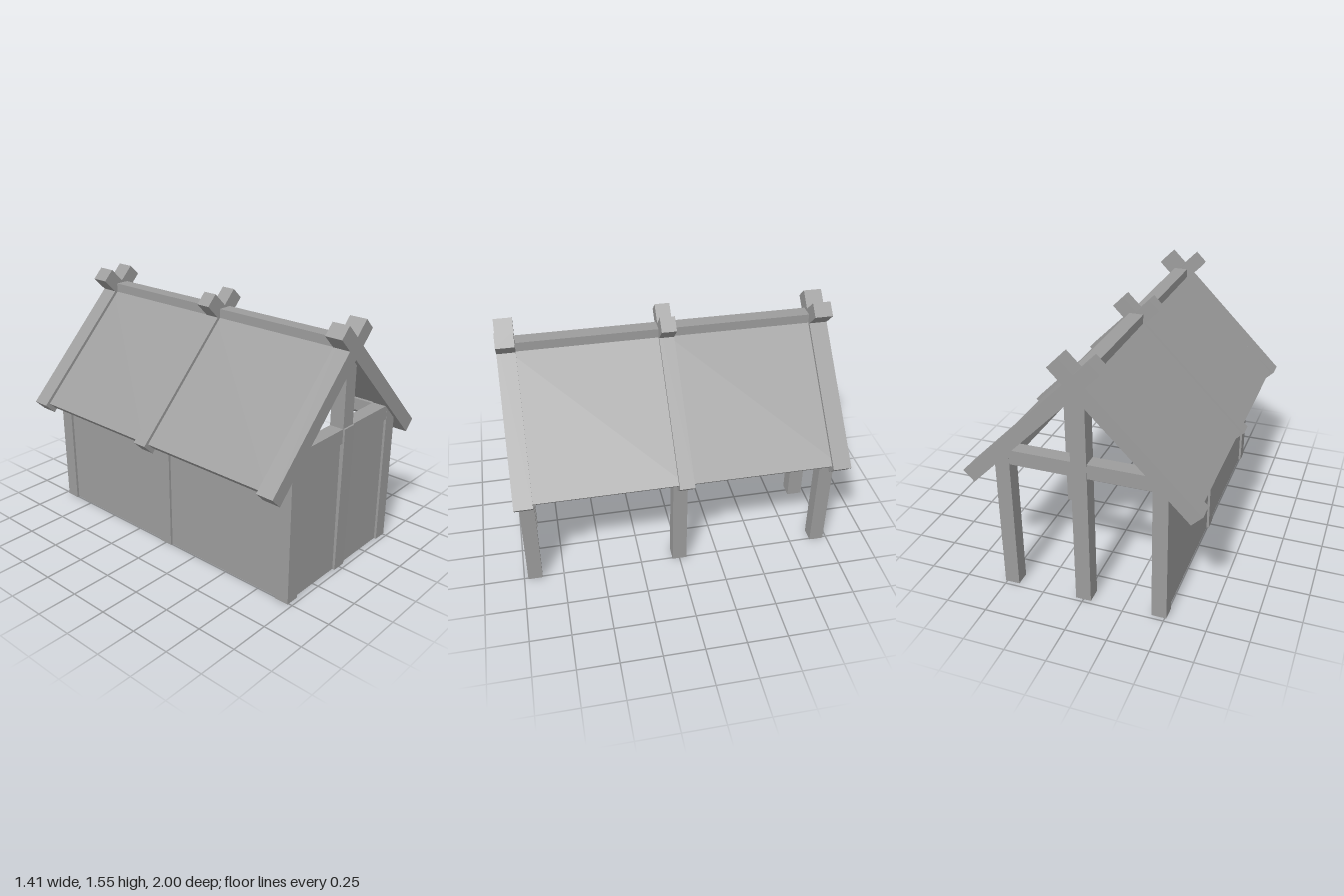
import * as THREE from 'three';

const material = new THREE.MeshStandardMaterial({ color: 0x9c9c9c, flatShading: true });

export function createModel() {
  const model = new THREE.Group();
  model.name = 'timberShelter';

  // Box given by its minimum and maximum on each axis
  const box = (name, [x0, x1], [y0, y1], [z0, z1]) => {
    const mesh = new THREE.Mesh(new THREE.BoxGeometry(x1 - x0, y1 - y0, z1 - z0), material);
    mesh.position.set((x0 + x1) / 2, (y0 + y1) / 2, (z0 + z1) / 2);
    mesh.name = name;
    model.add(mesh);
    return mesh;
  };
  const around = (c, half) => [c - half, c + half];

  const T = 0.045;          // half thickness of the timbers
  const C = 0.047;          // half thickness of the centre posts
  const X = 0.465;          // post line at the sides
  const Z = 0.93;           // post line at the ends

  // Side posts and tie beams of the three frames
  for (const z of [-Z, 0, Z]) {
    for (const x of [-X, X]) box('sidePost', around(x, T), [0, 0.93], around(z, T));
    box('tieBeam', [-X, X], [0.84, 0.93], around(z, T - 0.001));
  }

  // Centre posts: the front one leans out slightly below its king post
  const frontPost = box('frontPost', around(0, C), [0, 0.932], around(Z + 0.006, T));
  frontPost.rotation.x = 0.012;
  box('kingPost', around(0, C), [0.93, 1.38], around(Z, T));
  box('kingPost', around(0, C), [0.93, 1.38], around(0, T));
  box('backPost', around(0, C), [0, 1.38], around(-Z, T + 0.003));

  // Wall plates along the sides and the ridge beam
  for (const x of [-X, X]) box('wallPlate', around(x, T - 0.001), [0.84, 0.915], [-Z, Z]);
  box('ridgeBeam', around(0, T), [1.36, 1.448], [-0.95, 0.95]);

  // Wall panels between the posts of the front and the right side
  const W = 0.03;
  for (const s of [-1, 1]) {
    box('frontWallPanel', around(s * X / 2, X / 2 - T), [0, 0.84], around(Z, W));
    box('sideWallPanel', around(-X, W), [0, 0.84], around(s * Z / 2, Z / 2 - T));
  }

  // Sloping piece at 45 degrees, from its low end to its high end along the slope
  const sloped = (name, side, low, high, thickness, z, depth) => {
    const length = (high - low) * Math.SQRT2;
    const mesh = new THREE.Mesh(new THREE.BoxGeometry(length, thickness, depth), material);
    const mid = (low + high) / 2;
    mesh.position.set(-side * mid, mid + 1.398, z);
    mesh.rotation.z = -side * Math.PI / 4;
    mesh.name = name;
    model.add(mesh);
  };

  for (const side of [-1, 1]) {
    // Crossing rafters
    for (const z of [-0.9425, 0.9425]) sloped('endRafter', side, -0.673, 0.116, 0.092, z, 0.11);
    sloped('middleRafter', side, -0.673, 0.116, 0.092, 0, 0.09);
    // Roof boards between the rafters
    for (const z of [-0.47, 0.47]) sloped('roofPanel', side, -0.655, -0.015, 0.055, z, 0.94);
  }
  return model;
}
